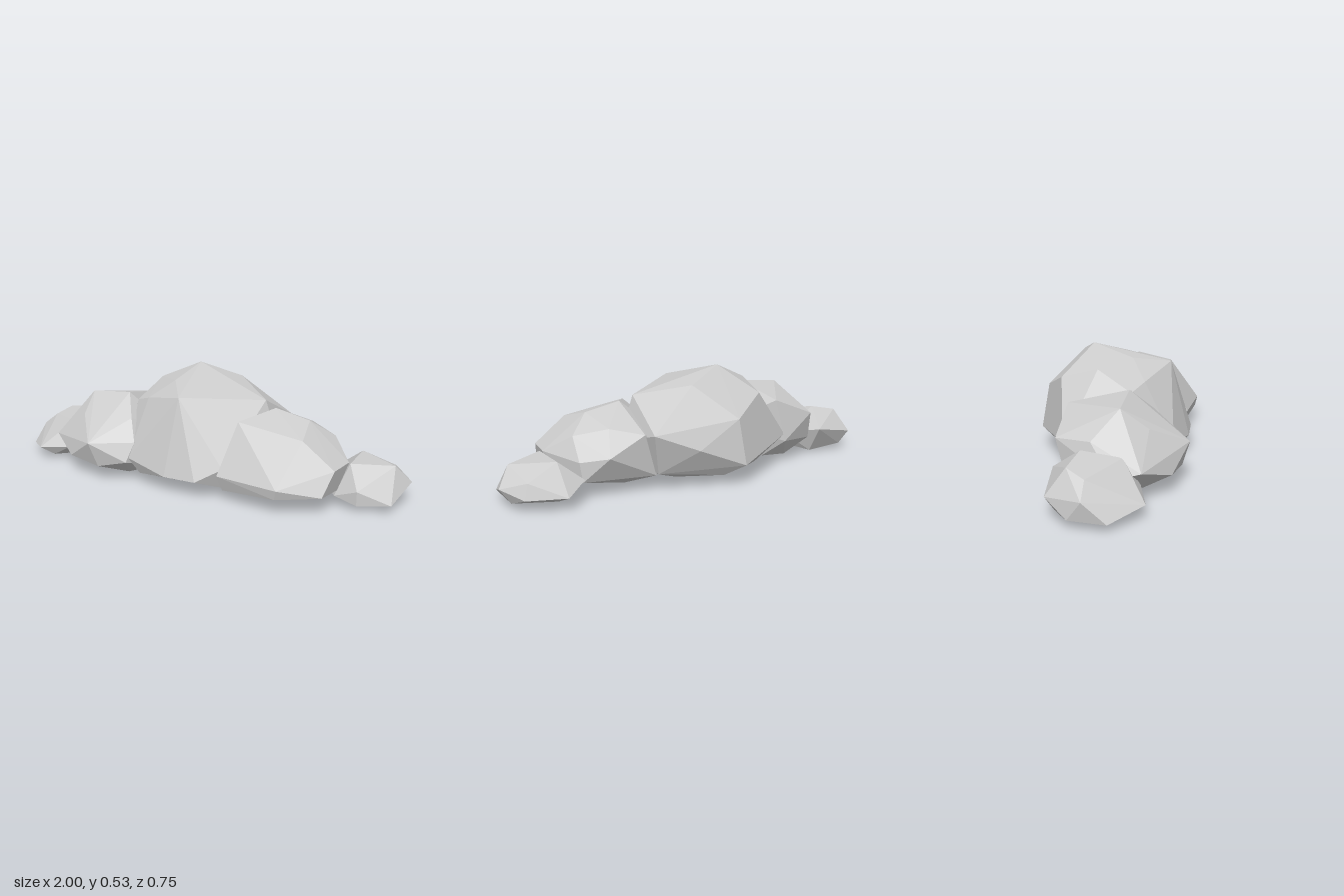
import * as THREE from 'three';
import { ConvexGeometry } from 'three/addons/geometries/ConvexGeometry.js';

// Each puff is a faceted convex lump given by a few corner points [x, y, z].
const centrePuff = [
  // crown
  [-0.09, 0.533, -0.11], [-0.13, 0.475, 0.08], [-0.28, 0.45, -0.06], [-0.02, 0.44, 0.25], [0.31, 0.41, 0],
  [0.1, 0.465, -0.19], [-0.25, 0.4, -0.235], [-0.33, 0.36, 0.1], [-0.24, 0.39, 0.15],
  // sides
  [0.345, 0.275, -0.27], [-0.06, 0.315, -0.34], [0.15, 0.195, -0.34], [-0.08, 0.1, -0.375], [-0.45, 0.155, -0.19],
  [-0.38, 0.15, 0.1], [-0.28, 0.12, 0.29], [-0.05, 0.08, 0.345], [0.11, 0.08, 0.345], [0.22, 0.14, 0.28], [0.38, 0.2, 0],
  // flattened underside
  [-0.22, 0.05, 0.28], [0, 0.015, 0.2], [0.2, 0.04, 0.25], [-0.25, 0.02, -0.1], [0.15, 0.015, -0.12],
  [0, 0.05, -0.31], [0.3, 0.08, -0.22], [-0.25, 0.05, -0.21],
];

const leftPuff = [
  [0.37, 0.385, 0.02], [0.54, 0.35, 0.03], [0.26, 0.35, 0.2], [0.57, 0.305, 0.2], [0.64, 0.27, -0.05], [0.5, 0.3, -0.13],
  [0.72, 0.19, 0.2], [0.74, 0.19, 0.06], [0.51, 0.115, 0.355], [0.69, 0.085, 0.27], [0.36, 0.27, -0.21], [0.54, 0.19, -0.22],
  [0.65, 0.17, -0.14], [0.21, 0.12, 0.32], [0.5, 0.07, 0.345],
  [0.72, 0.07, 0.05], [0.64, 0.08, -0.15], [0.23, 0.05, 0.3], [0.57, 0.02, 0.15], [0.4, 0.02, -0.08], [0.4, 0.025, 0.24],
  [0.15, 0.2, -0.1], [0.15, 0.04, 0.05], [0.3, 0.07, -0.2],
];

const rightPuff = [
  [-0.38, 0.39, 0.1], [-0.6, 0.37, 0.09], [-0.58, 0.28, 0.21], [-0.31, 0.29, 0.2], [-0.41, 0.33, -0.17],
  [-0.45, 0.19, 0.373], [-0.26, 0.19, 0.26], [-0.76, 0.15, 0.2], [-0.6, 0.09, 0.31], [-0.28, 0.1, 0.31], [-0.69, 0.25, -0.02],
  [-0.77, 0.12, 0.08], [-0.63, 0.24, -0.18], [-0.65, 0.1, -0.14], [-0.45, 0.12, -0.2], [-0.42, 0.07, 0.34],
  [-0.61, 0.025, 0.18], [-0.32, 0.02, 0.22], [-0.5, 0.03, -0.13], [-0.38, 0.03, -0.1],
  [-0.2, 0.2, 0], [-0.2, 0.04, 0.1],
];

const leftEndPuff = [
  [0.75, 0.19, 0.07], [0.75, 0.19, -0.13], [0.93, 0.18, -0.02], [0.9, 0.13, -0.17], [0.995, 0.095, -0.08],
  [0.75, 0.06, -0.25], [0.64, 0.1, -0.17], [0.92, 0.06, -0.185], [0.81, 0.095, 0.155], [0.7, 0.05, 0.13],
  [0.95, 0.035, 0.1], [0.81, 0.03, 0.155], [0.81, 0.005, 0], [0.95, 0.03, -0.1], [0.75, 0.01, -0.13], [0.62, 0.05, 0],
];

const rightEndPuff = [
  [-0.75, 0.235, -0.05], [-0.88, 0.21, -0.08], [-0.92, 0.18, 0], [-0.72, 0.2, 0.12], [-1, 0.12, 0], [-0.92, 0.1, -0.16],
  [-0.7, 0.14, -0.175], [-0.86, 0.065, 0.23], [-0.7, 0.08, 0.19], [-1, 0.035, 0.1], [-0.98, 0.035, -0.06],
  [-0.82, 0, 0.06], [-0.62, 0.03, 0.05], [-0.7, 0.01, -0.1], [-0.88, 0.03, -0.13], [-0.8, 0.025, 0.19], [-0.6, 0.1, 0],
];

export function createModel() {
  const group = new THREE.Group();
  group.name = 'cloud';
  const paleGrey = new THREE.MeshStandardMaterial({ color: 0xcccccc });
  paleGrey.name = 'paleGrey';
  paleGrey.flatShading = true;

  const puffs = { centrePuff, leftPuff, rightPuff, leftEndPuff, rightEndPuff };
  for (const [name, corners] of Object.entries(puffs)) {
    const points = corners.map(([x, y, z]) => new THREE.Vector3(x, y, z));
    const puff = new THREE.Mesh(new ConvexGeometry(points), paleGrey);
    puff.name = name;
    group.add(puff);
  }
  return group;
}
